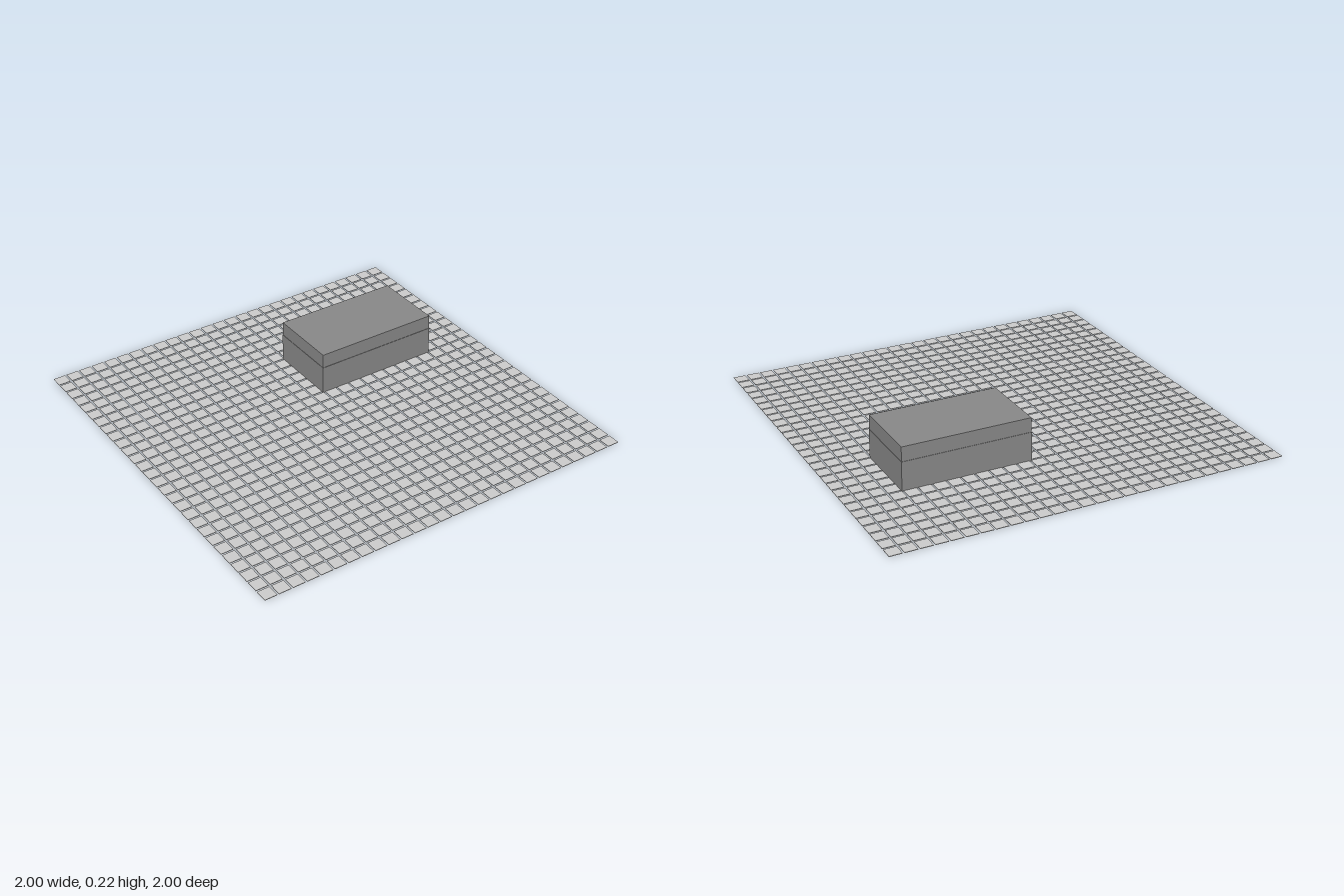
import * as THREE from 'three';
import { mergeGeometries } from 'three/addons/utils/BufferGeometryUtils.js';

const TILES = 28;            // tiles along each side of the floor
const GAP = 2 / 223;         // joint between tiles, one seventh of a tile
const TILE = GAP * 7;
const THICK = 0.003;

function block(name, size, position, material) {
  const mesh = new THREE.Mesh(new THREE.BoxGeometry(...size), material);
  mesh.name = name;
  mesh.position.set(...position);
  return mesh;
}

export function createModel() {
  const model = new THREE.Group();
  const light = new THREE.MeshStandardMaterial({ color: 0xcccccc });
  const dark = new THREE.MeshStandardMaterial({ color: 0x888888 });

  // Square floor of thin tiles with open joints
  const tiles = [];
  const at = (i) => -1 + TILE / 2 + i * (TILE + GAP);
  for (let i = 0; i < TILES; i++) {
    for (let j = 0; j < TILES; j++) {
      tiles.push(new THREE.BoxGeometry(TILE, THICK, TILE).translate(at(i), 0.001 + THICK / 2, at(j)));
    }
  }
  const floor = new THREE.Mesh(mergeGeometries(tiles), light);
  floor.name = 'floorTiles';
  model.add(floor);

  // Low box standing on the floor, with a slightly narrower lid
  const box = new THREE.Group();
  box.name = 'box';
  box.position.set(0.392, 0, -0.323);
  box.add(block('boxBody', [0.658, 0.15, 0.37], [0, 0.075, 0], dark));
  box.add(block('boxLid', [0.654, 0.074, 0.366], [0, 0.187, 0], dark));
  model.add(box);

  return model;
}
